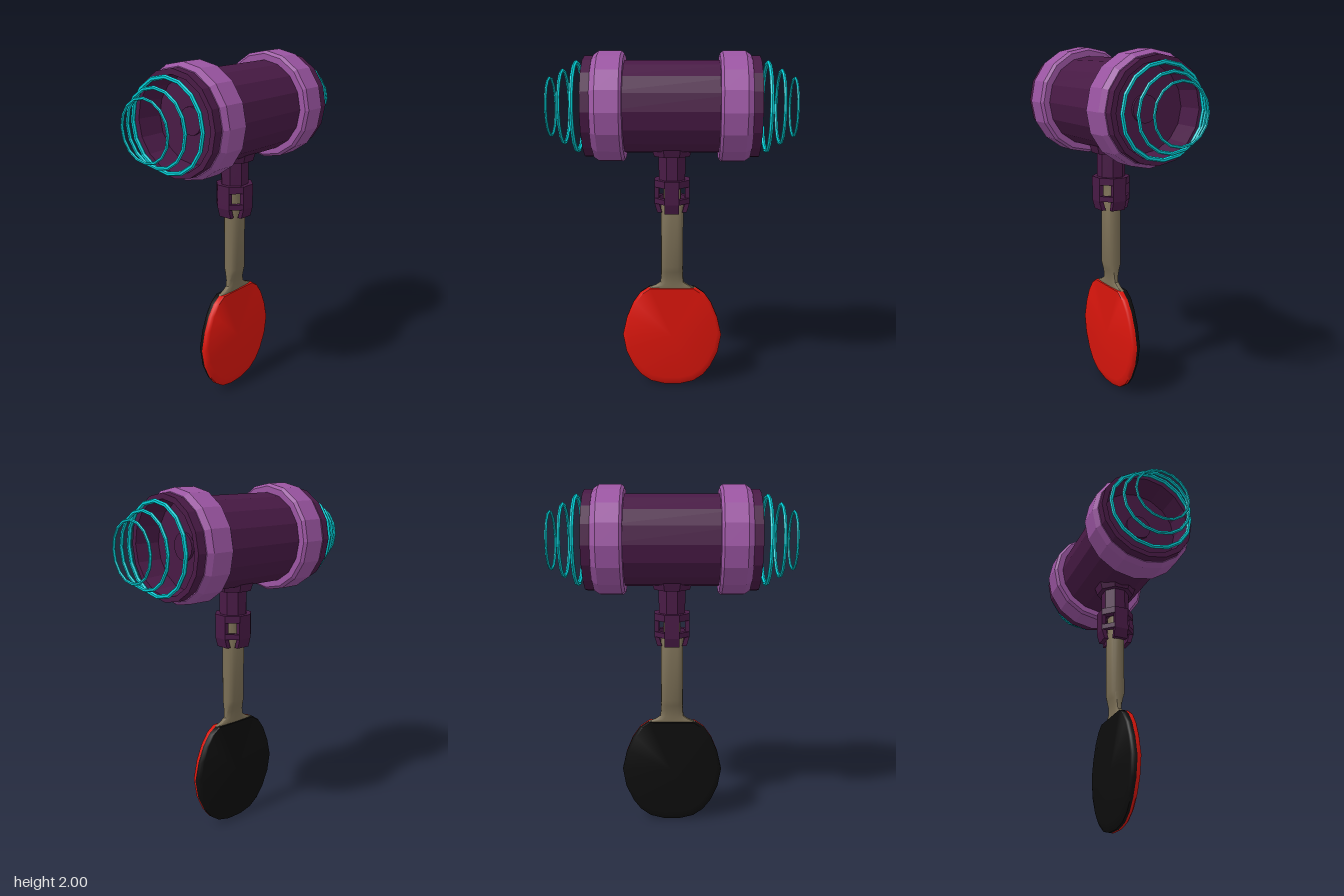
import * as THREE from 'three';
import { toCreasedNormals } from 'three/addons/utils/BufferGeometryUtils.js';

const mat = (color, flatShading = false) =>
  new THREE.MeshStandardMaterial({ color, flatShading });
const DARK = mat(0x481a45, true);
const BAND = mat(0x9b55a2, true);
const CYAN = mat(0x00d0d8, true);
const WOOD = mat(0x7a6e55);
const RED = mat(0xd8150c);
const BLACK = mat(0x0d0d0d);
const HEAD_Y = 1.695;

// Skin over equal-length rings of points, closed by a fan on the last ring
function loft(rings, crease) {
  const n = rings[0].length, pos = [], idx = [];
  rings.forEach(r => r.forEach(p => pos.push(...p)));
  for (let i = 0; i < rings.length - 1; i++) {
    for (let j = 0; j < n; j++) {
      const a = i * n + j, b = i * n + (j + 1) % n;
      idx.push(a, a + n, b, b, a + n, b + n);
    }
  }
  const last = rings[rings.length - 1];
  pos.push(...[0, 1, 2].map(k => last.reduce((s, p) => s + p[k], 0) / n));
  const c = rings.length * n, o = c - n;
  for (let j = 0; j < n; j++) idx.push(c, o + (j + 1) % n, o + j);
  const g = new THREE.BufferGeometry();
  g.setAttribute('position', new THREE.Float32BufferAttribute(pos, 3));
  g.setIndex(idx);
  return toCreasedNormals(g, crease);
}

// Profile of [radius, x] turned about the head's long axis
function turned(profile) {
  const g = new THREE.LatheGeometry(profile.map(p => new THREE.Vector2(...p)), 16);
  return g.rotateZ(-Math.PI / 2).translate(0, HEAD_Y, 0);
}

// Octagonal tube or frustum with its flats facing the four axes
function octagon(top, bottom, y0, y1) {
  const k = 1 / Math.cos(Math.PI / 8);
  return new THREE.CylinderGeometry(top * k, bottom * k, y1 - y0, 8)
    .rotateY(Math.PI / 8).translate(0, (y0 + y1) / 2, 0);
}

function octagonRing(outer, inner, y0, y1) {
  const pts = r => Array.from({ length: 8 }, (_, i) => {
    const a = (i + 0.5) * Math.PI / 4, R = r / Math.cos(Math.PI / 8);
    return new THREE.Vector2(R * Math.cos(a), R * Math.sin(a));
  });
  const s = new THREE.Shape(pts(outer));
  s.holes.push(new THREE.Path(pts(inner)));
  return new THREE.ExtrudeGeometry(s, { depth: y1 - y0, bevelEnabled: false })
    .rotateX(-Math.PI / 2).translate(0, y0, 0);
}

export function createModel() {
  const root = new THREE.Group();
  const add = (name, geometry, material, parent = root) => {
    const m = new THREE.Mesh(geometry, material);
    m.name = name;
    parent.add(m);
    return m;
  };

  // Barrel with raised rims and recessed ends
  const half = [[0, 0.34], [0.235, 0.34], [0.25, 0.48], [0.28, 0.48], [0.28, 0.4], [0.255, 0.4]];
  add('barrel', turned([
    ...half.map(([r, x]) => [r, -x]),
    ...half.slice().reverse(),
  ]), DARK);

  for (const side of [-1, 1]) {
    const name = side > 0 ? 'left' : 'right';

    // Chamfered band
    const band = [[0.25, 0.26], [0.29, 0.26], [0.305, 0.275], [0.305, 0.4], [0.285, 0.43], [0.27, 0.43]];
    const profile = band.map(([r, x]) => [r, x * side]);
    add(name + 'Band', turned(side > 0 ? profile : profile.reverse()), BAND);

    // Hub on the recessed floor
    add(name + 'Hub', new THREE.CylinderGeometry(0.075, 0.075, 0.02, 16)
      .rotateZ(Math.PI / 2).translate(side * 0.345, HEAD_Y, 0), DARK);

    // Shrinking energy rings
    const rings = new THREE.Group();
    rings.name = name + 'Rings';
    root.add(rings);
    [[0.527, 0.255, 0.012], [0.603, 0.21, 0.01], [0.677, 0.167, 0.008]].forEach(([x, r, t]) =>
      add('ring', new THREE.TorusGeometry(r - t, t, 6, 16)
        .rotateY(Math.PI / 2).translate(side * x, HEAD_Y, 0), CYAN, rings));
  }

  // Neck and its flared mount
  add('neck', octagon(0.075, 0.075, 1.26, 1.46), DARK);
  add('neckMount', octagon(0.115, 0.1, 1.425, 1.475), DARK);

  // Windowed collar: two rings, four pillars, four tapering claws
  const collar = new THREE.Group();
  collar.name = 'collar';
  root.add(collar);
  add('upperRing', octagonRing(0.1, 0.06, 1.25, 1.29), DARK, collar);
  add('lowerRing', octagonRing(0.1, 0.072, 1.155, 1.185), DARK, collar);
  for (let i = 0; i < 4; i++) {
    const turn = i * Math.PI / 2;
    add('pillar', new THREE.BoxGeometry(0.083, 0.08, 0.026)
      .translate(0, 1.218, 0.087).rotateY(turn), DARK, collar);
    const claw = new THREE.BoxGeometry(0.083, 0.055, 0.026).translate(0, 1.1275, 0.087);
    const p = claw.attributes.position;
    for (let v = 0; v < p.count; v++) {
      if (p.getY(v) < 1.12) p.setZ(v, p.getZ(v) - 0.016);
    }
    add('claw', claw.rotateY(turn), DARK, collar);
  }

  // Handle, flattening and flaring into the paddle: [y, half width, half depth]
  const sections = [
    [0.58, 0.15, 0.02], [0.63, 0.14, 0.021], [0.645, 0.1, 0.021], [0.665, 0.07, 0.021],
    [0.7, 0.065, 0.024], [0.735, 0.065, 0.034], [0.77, 0.065, 0.045],
    [1.155, 0.065, 0.045], [1.165, 0.05, 0.042], [1.27, 0.05, 0.042],
  ];
  const soft = v => Math.sign(v) * Math.abs(v) ** 0.7;
  add('handle', loft(sections.map(([y, w, d]) => Array.from({ length: 16 }, (_, i) => {
    const a = i * Math.PI / 8;
    return [w * soft(Math.cos(a)), y, d * soft(Math.sin(a))];
  })), 0.7), WOOD);

  // Rubber faces: the outline shrinks towards the flat top as it rounds over
  const right = [[0.14, 0.63], [0.19, 0.595], [0.235, 0.53], [0.272, 0.44], [0.297, 0.33],
    [0.278, 0.22], [0.235, 0.125], [0.19, 0.065], [0.13, 0.022], [0.05, 0.002]];
  const outline = [...right, ...right.slice().reverse().map(([x, y]) => [-x, y])];
  const face = () => loft([[0, 1], [0.014, 0.998], [0.025, 0.97], [0.031, 0.92]].map(([z, s]) =>
    outline.map(([x, y]) => [x * s, 0.63 + (y - 0.63) * s, z])), 0.8);
  add('frontRubber', face(), RED);
  add('backRubber', face().rotateY(Math.PI), BLACK);

  return root;
}
